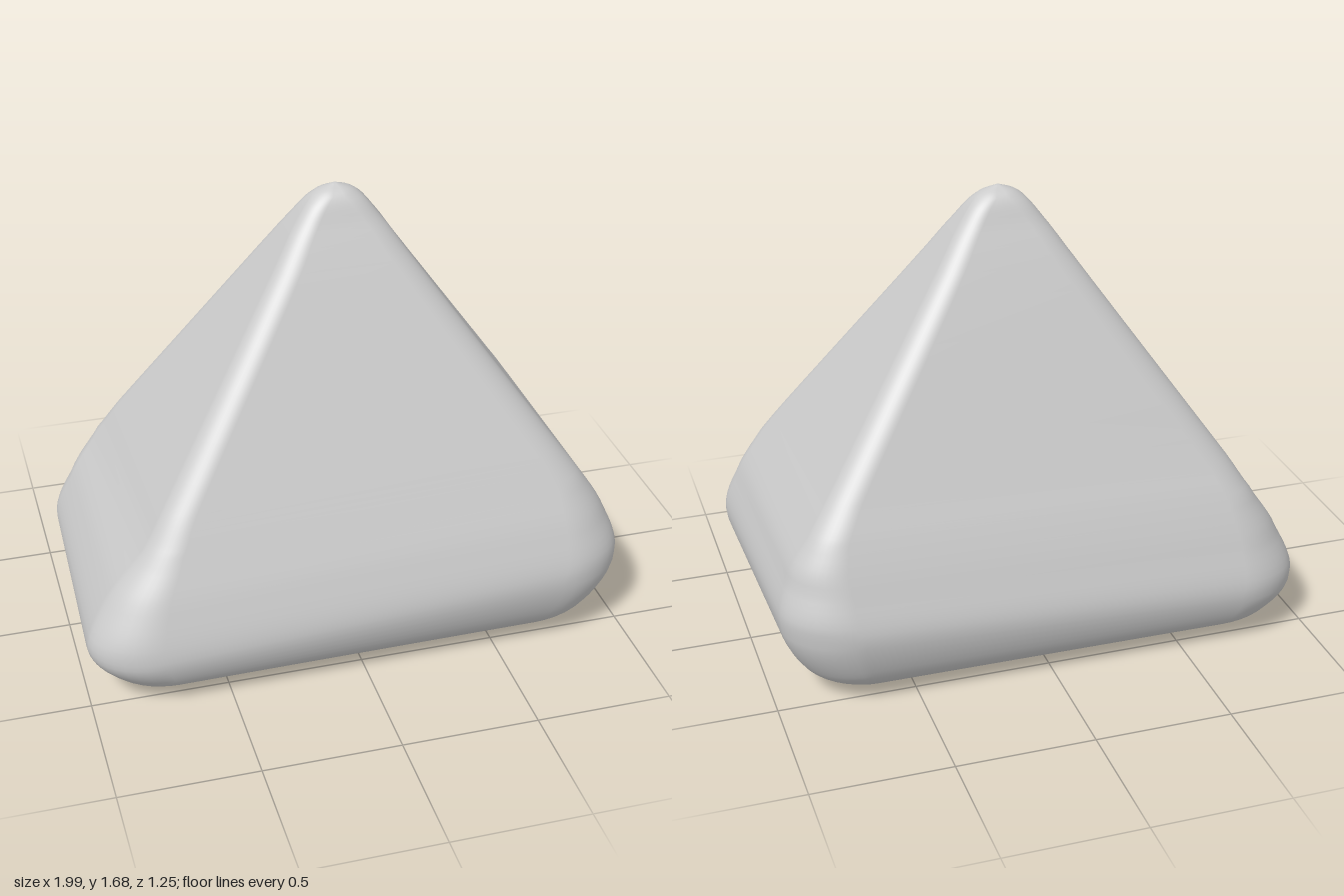
import * as THREE from 'three';

// Profile rows from the base up. Right side: x, height, front z. Left side: x, height, back z.
// Then corner radius along x and along z, and how much the back narrows.
const ROWS = [
  [0.65, 0, 0.40, -0.68, 0, -0.40, 0.08, 0.07, 0],
  [0.82, 0.045, 0.51, -0.84, 0.04, -0.505, 0.17, 0.14, 0.02],
  [0.92, 0.13, 0.585, -0.93, 0.10, -0.58, 0.23, 0.18, 0.03],
  [1.00, 0.31, 0.625, -1.00, 0.21, -0.625, 0.27, 0.20, 0.04],
  [0.95, 0.47, 0.58, -0.92, 0.39, -0.585, 0.20, 0.17, 0.02],
  [0.85, 0.63, 0.51, -0.77, 0.57, -0.525, 0.12, 0.10, -0.03],
  [0.765, 0.75, 0.455, -0.685, 0.70, -0.47, 0.10, 0.085, -0.035],
  [0.29, 1.42, 0.142, -0.205, 1.42, -0.177, 0.08, 0.065, -0.03],
  [0.20, 1.55, 0.08, -0.12, 1.55, -0.118, 0.07, 0.06, 0],
  [0.12, 1.645, 0.033, -0.04, 1.645, -0.073, 0.06, 0.05, 0],
  [0.04, 1.68, -0.02, 0.04, 1.68, -0.02, 0, 0, 0],
];
const APEX = [0.04, 1.68, -0.02];
const ARC = 10;          // segments per rounded corner
const STEPS = 6;         // rings per profile row

function roundedPyramidGeometry() {
  const rightFront = new THREE.CatmullRomCurve3(ROWS.map(r => new THREE.Vector3(r[0], r[1], r[2])));
  const leftBack = new THREE.CatmullRomCurve3(ROWS.map(r => new THREE.Vector3(r[3], r[4], r[5])));
  const { lerp, clamp } = THREE.MathUtils;
  const positions = [];
  const index = [];
  const perRing = 4 * (ARC + 1);

  // One rounded-rectangle ring, its height sloping from left to right
  function addRing(u, scale = 1) {
    const R = rightFront.getPoint(u), L = leftBack.getPoint(u);
    const s = u * (ROWS.length - 1);
    const i = Math.min(Math.floor(s), ROWS.length - 2);
    const col = c => lerp(ROWS[i][c], ROWS[i + 1][c], s - i);
    const cx = (R.x + L.x) / 2, cz = (R.z + L.z) / 2;
    const hx = (R.x - L.x) / 2, hz = (R.z - L.z) / 2;
    const rx = Math.min(col(6), hx), rz = Math.min(col(7), hz), narrow = col(8);
    for (let corner = 0; corner < 4; corner++) {
      const sx = corner === 0 || corner === 3 ? 1 : -1;
      const sz = corner < 2 ? 1 : -1;
      for (let k = 0; k <= ARC; k++) {
        const a = (corner + k / ARC) * Math.PI / 2;
        let x = cx + scale * (sx * (hx - rx) + rx * Math.cos(a));
        const z = cz + scale * (sz * (hz - rz) + rz * Math.sin(a));
        const y = lerp(L.y, R.y, clamp((x - L.x) / (2 * hx), 0, 1));
        const back = clamp(0.5 - (z - cz) / (2 * hz), 0, 1);
        x *= 1 - back * (x < 0 ? narrow : Math.max(narrow, 0));
        positions.push(x, y, z);
      }
    }
  }

  addRing(0, 0.96);       // inner ring keeps the base flat
  const rings = (ROWS.length - 1) * STEPS;
  for (let i = 0; i < rings; i++) addRing(i / rings);

  for (let i = 0; i < rings; i++) {
    for (let j = 0; j < perRing; j++) {
      const n = (j + 1) % perRing;
      const a = i * perRing + j, b = i * perRing + n;
      index.push(a, a + perRing, b, b, a + perRing, b + perRing);
    }
  }

  // Base centre and rounded tip
  const base = positions.length / 3;
  positions.push(0, 0, 0, ...APEX);
  for (let j = 0; j < perRing; j++) {
    const n = (j + 1) % perRing, top = rings * perRing;
    index.push(base, j, n, base + 1, top + n, top + j);
  }

  const geometry = new THREE.BufferGeometry();
  geometry.setAttribute('position', new THREE.Float32BufferAttribute(positions, 3));
  geometry.setIndex(index);
  geometry.computeVertexNormals();
  return geometry;
}

export function createModel() {
  const group = new THREE.Group();
  group.name = 'roundedPyramid';
  const body = new THREE.Mesh(
    roundedPyramidGeometry(),
    new THREE.MeshStandardMaterial({ color: 0xcccccc })
  );
  body.name = 'pyramidBody';
  group.add(body);
  return group;
}
